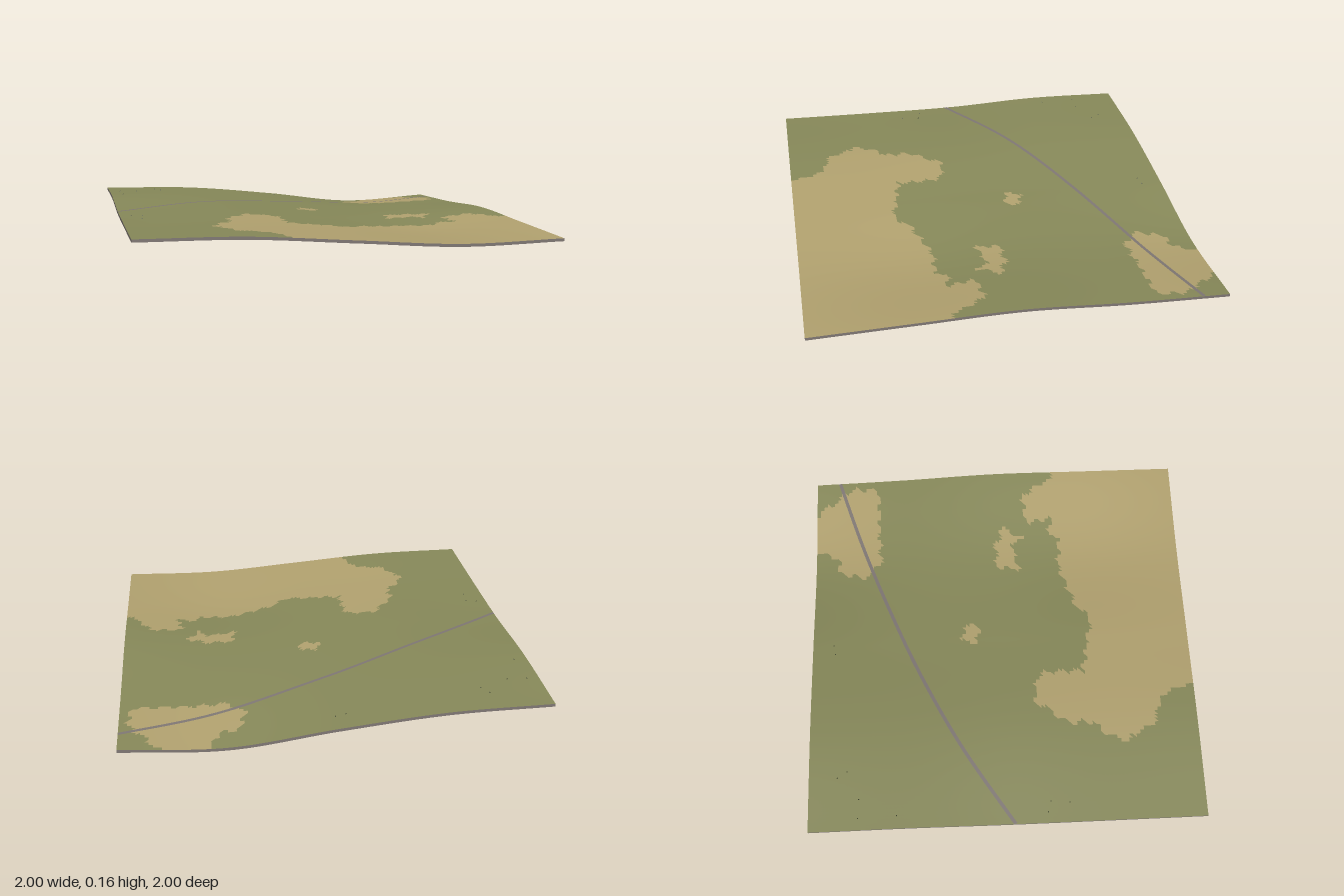
import * as THREE from 'three';

const N = 100;         // terrain cells per side
const SKIRT = 0.014;   // depth of the rim

// Heights at x = -1..1 (columns) and z = -1..1 (rows), in steps of 0.5
const HEIGHTS = [
  [0.145, 0.132, 0.082, 0.020, 0.043],
  [0.160, 0.140, 0.094, 0.058, 0.066],
  [0.146, 0.140, 0.102, 0.073, 0.100],
  [0.153, 0.142, 0.106, 0.065, 0.096],
  [0.165, 0.157, 0.120, 0.084, 0.090],
];

// Outlines of the bare sandy ground as x, z pairs
const FRONT_SAND = [-0.3, 1.05, -0.32, 0.9, -0.39, 0.82, -0.5, 0.78, -0.6, 0.62, -0.48, 0.43, -0.49, 0.35,
  -0.36, 0.16, -0.2, 0.2, -0.2, 0.43, 0.1, 0.49, 0.2, 0.41, 0.43, 0.34, 0.62, 0.35, 0.6, 0.29, 0.72, 0.32,
  0.7, 0.17, 0.87, 0.16, 0.95, 0.32, 1.05, 0.31, 1.05, 1.05];
const BACK_SAND = [0.62, -1.05, 0.75, -1.05, 0.83, -0.98, 0.96, -0.78, 0.95, -0.65, 0.5, -0.64,
  0.41, -0.71, 0.44, -0.86, 0.54, -0.88];
const SMALL_SAND = [0, -0.2, 0.07, -0.19, 0.11, -0.13, 0.08, -0.11, -0.01, -0.12];
const MIDDLE_SAND = [0.43, 0, 0.58, 0, 0.68, 0.04, 0.6, 0.15, 0.57, 0.09, 0.42, 0.12];
const PATCHES = [FRONT_SAND, BACK_SAND, SMALL_SAND, MIDDLE_SAND];

// Smooth interpolation through five evenly spaced values
function spline(v, t) {
  const i = Math.min(3, Math.floor(t)), f = t - i;
  const a = i > 0 ? v[i - 1] : 2 * v[0] - v[1];
  const d = i < 3 ? v[i + 2] : 2 * v[4] - v[3];
  const b = v[i], c = v[i + 1];
  return b + 0.5 * f * (c - a + f * (2 * a - 5 * b + 4 * c - d + f * (3 * (b - c) + d - a)));
}

function heightAt(x, z) {
  const u = THREE.MathUtils.clamp((x + 1) * 2, 0, 4), w = THREE.MathUtils.clamp((z + 1) * 2, 0, 4);
  return spline(HEIGHTS.map((row) => spline(row, u)), w);
}

function inside(p, x, z) {
  let hit = false;
  for (let i = 0, j = p.length - 2; i < p.length; j = i, i += 2) {
    if ((p[i + 1] > z) !== (p[j + 1] > z)
      && x < p[i] + (p[j] - p[i]) * (z - p[i + 1]) / (p[j + 1] - p[i + 1])) hit = !hit;
  }
  return hit;
}

// Sand test with a small wobble that makes the outlines ragged
function isSand(x, z) {
  const wx = x + 0.012 * Math.sin(z * 75), wz = z + 0.012 * Math.sin(x * 68 + 1);
  return PATCHES.some((p) => inside(p, wx, wz));
}

// Strip between pairs of points [a, b]
function ribbon(pairs) {
  const index = [];
  for (let i = 0; i < pairs.length - 1; i++) {
    const k = i * 2;
    index.push(k, k + 1, k + 2, k + 1, k + 3, k + 2);
  }
  const g = new THREE.BufferGeometry();
  g.setAttribute('position', new THREE.Float32BufferAttribute(pairs.flat(2), 3));
  g.setIndex(index);
  g.computeVertexNormals();
  return g;
}

// Rolling sheet whose triangles are sorted into grass and sand
function terrainGeometry() {
  const g = new THREE.PlaneGeometry(2, 2, N, N).rotateX(-Math.PI / 2);
  const p = g.attributes.position, index = g.index.array;
  for (let i = 0; i < p.count; i++) p.setY(i, heightAt(p.getX(i), p.getZ(i)));
  const sorted = [[], []];
  for (let i = 0; i < index.length; i += 3) {
    const tri = [index[i], index[i + 1], index[i + 2]];
    const x = tri.reduce((s, k) => s + p.getX(k), 0) / 3;
    const z = tri.reduce((s, k) => s + p.getZ(k), 0) / 3;
    sorted[isSand(x, z) ? 1 : 0].push(...tri);
  }
  g.setIndex([...sorted[0], ...sorted[1]]);
  g.addGroup(0, sorted[0].length, 0);
  g.addGroup(sorted[0].length, sorted[1].length, 1);
  g.computeVertexNormals();
  return g;
}

export function createModel() {
  const material = (name, color) => {
    const m = new THREE.MeshStandardMaterial({ color, side: THREE.DoubleSide });
    m.name = name;
    return m;
  };
  const grass = material('grass', 0x888a5a);
  const sand = material('sand', 0xb3a370);
  const gray = material('roadGray', 0x807874);
  const shrubGreen = material('shrubGreen', 0x4c5238);

  const group = new THREE.Group();
  group.name = 'terrain';
  const add = (name, geometry, mat) => {
    const mesh = new THREE.Mesh(geometry, mat);
    mesh.name = name;
    group.add(mesh);
    return mesh;
  };

  add('ground', terrainGeometry(), [grass, sand]);

  // Rim hanging from each edge, facing outwards
  const sides = {
    frontRim: (t) => [t, 1], backRim: (t) => [-t, -1], leftRim: (t) => [1, -t], rightRim: (t) => [-1, t],
  };
  for (const [name, edge] of Object.entries(sides)) {
    const pairs = [];
    for (let i = 0; i <= N; i++) {
      const [x, z] = edge(-1 + 2 * i / N), y = heightAt(x, z);
      pairs.push([[x, y, z], [x, y - SKIRT, z]]);
    }
    add(name, ribbon(pairs), gray);
  }

  // Narrow road draped over the ground
  const path = new THREE.SplineCurve([[-1, 0.04], [-0.6, -0.215], [-0.2, -0.42], [0.2, -0.59],
    [0.6, -0.74], [1, -0.87]].map(([x, z]) => new THREE.Vector2(x, z)));
  const roadPairs = [];
  for (let i = 0; i <= 120; i++) {
    const c = path.getPoint(i / 120), t = path.getTangent(i / 120);
    roadPairs.push([-1, 1].map((s) => {
      const x = THREE.MathUtils.clamp(c.x - s * t.y * 0.009, -1, 1), z = c.y + s * t.x * 0.009;
      return [x, heightAt(x, z) + 0.002, z];
    }));
  }
  add('road', ribbon(roadPairs), gray);

  // Tiny shrubs
  const shrub = new THREE.ConeGeometry(0.004, 0.008, 5);
  for (const [x, z] of [[-0.73, -0.855], [-0.7, -0.805], [-0.94, -0.75], [-0.845, -0.745], [-0.935, -0.555],
    [-0.045, -0.88], [0.005, -0.89], [-0.945, 0.205], [-0.89, 0.22], [-0.9, 0.315]]) {
    add('shrub', shrub, shrubGreen).position.set(x, heightAt(x, z) + 0.003, z);
  }

  return group;
}
